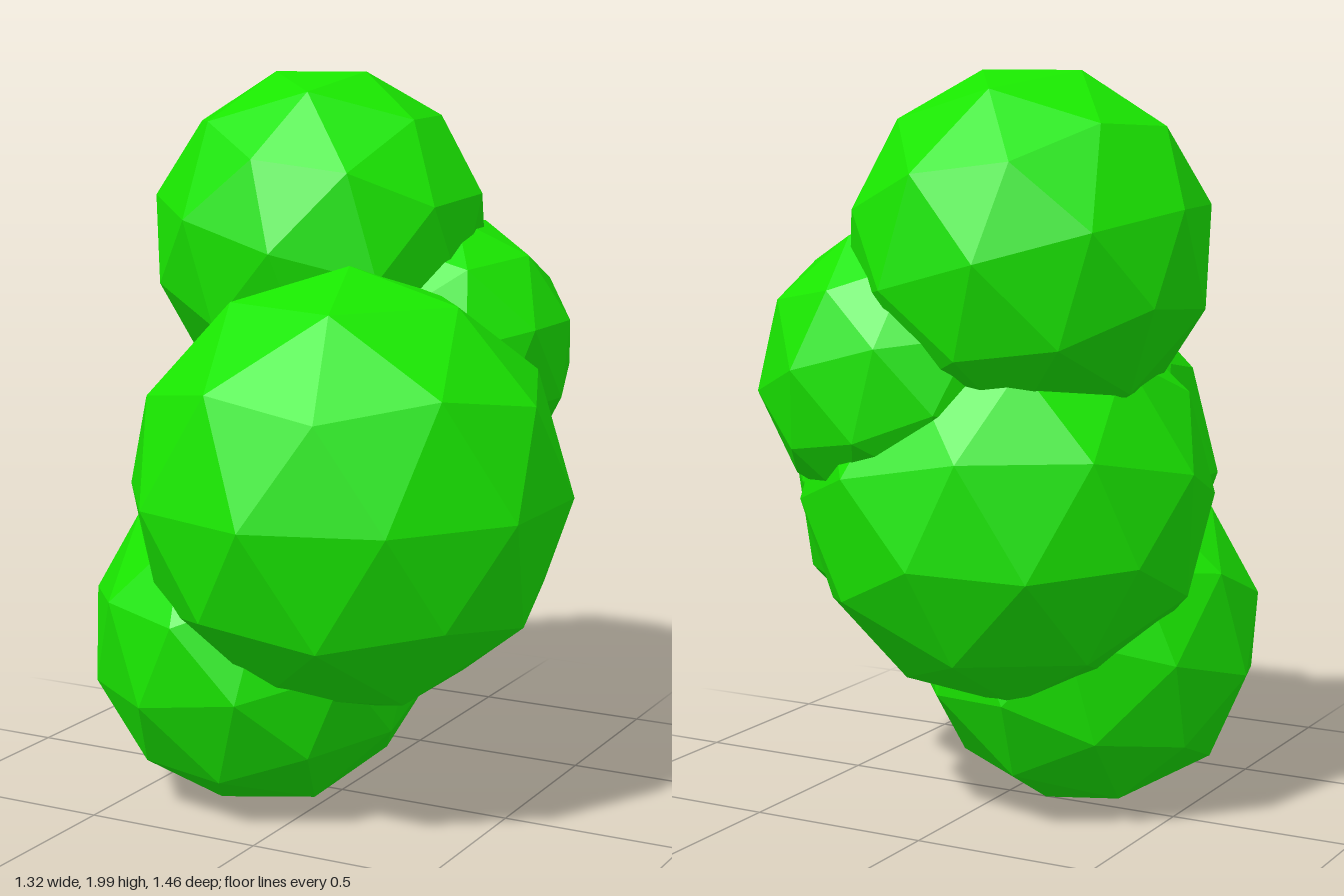
import * as THREE from 'three';

const leafGreen = new THREE.MeshStandardMaterial({ color: 0x19e700, flatShading: true });
leafGreen.name = 'leafGreen';

// Faceted ball with one five-sided corner pointing straight up
function clumpGeometry() {
  const g = new THREE.IcosahedronGeometry(1, 1);
  g.rotateZ(Math.atan(2 / (1 + Math.sqrt(5))));
  g.rotateY(Math.PI);
  return g;
}

export function createModel() {
  const group = new THREE.Group();
  group.name = 'bush';
  const geometry = clumpGeometry();

  // name, centre, radius, rotation
  const clumps = [
    ['frontClump', [0.09, 0.9, 0.13], 0.6, [0, 0, 0]],
    ['topClump', [-0.19, 1.53, -0.24], 0.48, [0, Math.PI + 0.19, 0.27]],
    ['bottomClump', [-0.19, 0.47, 0.1], 0.48, [0, 0.96, 0.27]],
    ['backClump', [-0.1, 0.88, -0.19], 0.55, [0.3, 0.9, 0.1]],
    ['upperBackClump', [0.11, 1.215, -0.34], 0.4, [0.25, 0.3, -0.2]],
  ];

  for (const [name, centre, radius, rotation] of clumps) {
    const mesh = new THREE.Mesh(geometry, leafGreen);
    mesh.name = name;
    mesh.position.set(...centre);
    mesh.scale.setScalar(radius);
    // Tilt first, then turn about y
    mesh.rotation.set(...rotation, 'YXZ');
    group.add(mesh);
  }
  return group;
}
